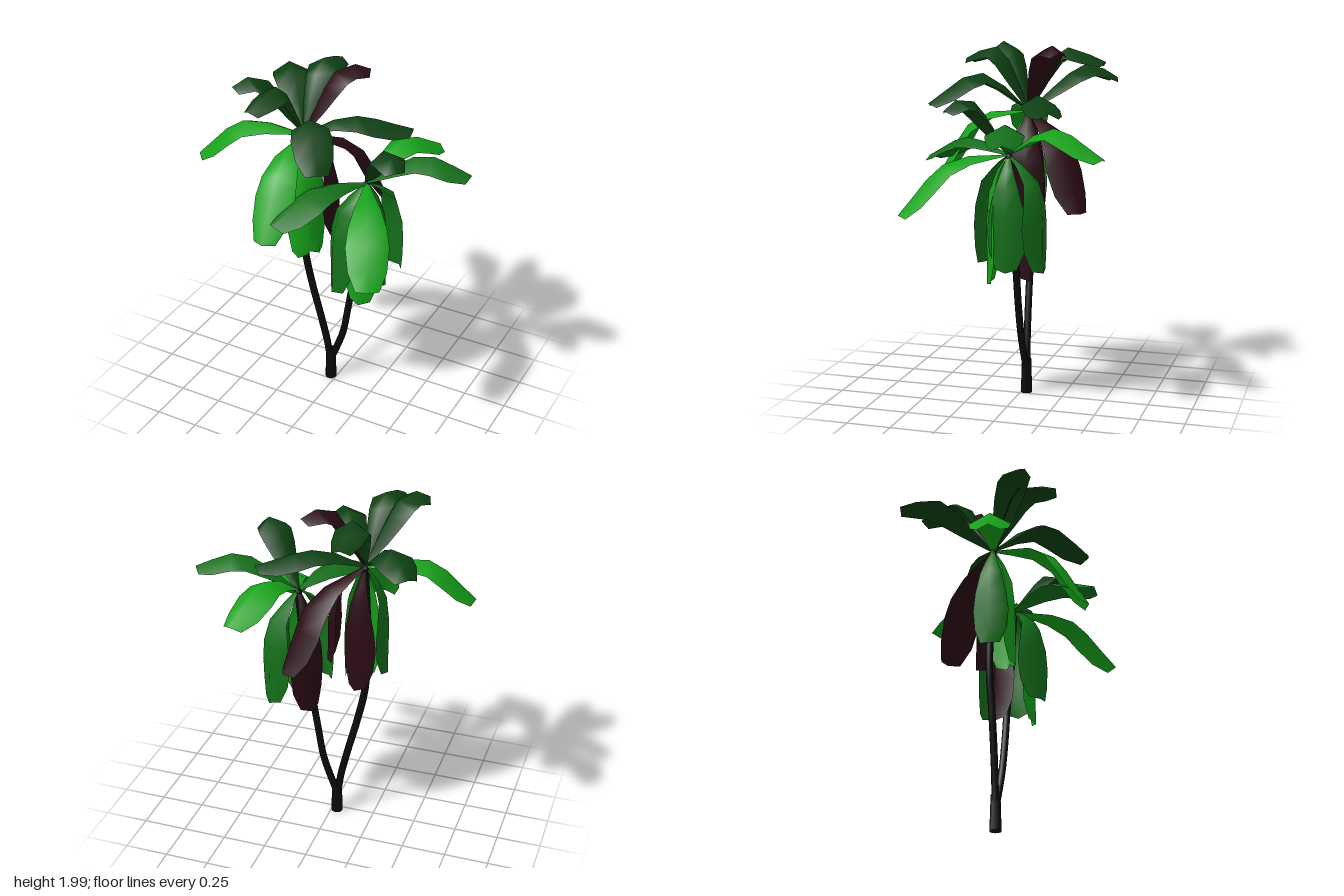
import * as THREE from 'three';

const mat = (color) => new THREE.MeshStandardMaterial({ color, side: THREE.DoubleSide });

// Width of a frond along its length: thin stalk, broad outer half, blunt end
const PROFILE = [[0, 0.02], [0.14, 0.07], [0.3, 0.135], [0.5, 0.195], [0.66, 0.22], [0.84, 0.195], [1, 0.12]];

// One frond: an arched strip, folded along its rib, from the crown through a bend to its tip
function frondGeometry(base, tip, frac, midY, scale) {
  const end = new THREE.Vector3(...tip);
  const mid = base.clone().lerp(end, frac).setY(midY);
  const curve = new THREE.CatmullRomCurve3([base, mid, end]);
  const side = new THREE.Vector3(end.z - base.z, 0, base.x - end.x).normalize();
  const pos = [], index = [];
  PROFILE.forEach(([t, w], i) => {
    const p = curve.getPointAt(t);
    const tangent = curve.getTangentAt(t);
    const up = new THREE.Vector3().crossVectors(tangent, side).normalize();
    const last = i === PROFILE.length - 1;
    for (const s of [-1, 0, 1]) {
      const v = p.clone().addScaledVector(side, s * w * scale / 2);
      v.addScaledVector(up, s === 0 ? 0.015 : 0.015 - w * 0.27);
      if (last && s !== 0) v.addScaledVector(tangent, -0.015);
      pos.push(v.x, v.y, v.z);
    }
    if (i > 0) {
      for (let k = 0; k < 2; k++) {
        const a = (i - 1) * 3 + k, b = a + 3;
        index.push(a, b, a + 1, a + 1, b, b + 1);
      }
    }
  });
  const g = new THREE.BufferGeometry();
  g.setAttribute('position', new THREE.Float32BufferAttribute(pos, 3));
  g.setIndex(index);
  g.computeVertexNormals();
  return g;
}

export function createModel() {
  const model = new THREE.Group();
  model.name = 'twinPalm';
  const bark = mat(0x0b0b0b);
  const colors = { bright: mat(0x17a31b), mid: mat(0x14701a), dark: mat(0x0d4012), red: mat(0x2a0c14) };

  const add = (parent, geo, material, name) => {
    const m = new THREE.Mesh(geo, material);
    m.name = name;
    parent.add(m);
    return m;
  };

  // Shared stump
  add(model, new THREE.CylinderGeometry(0.028, 0.034, 0.2, 10), bark, 'stump').position.set(-0.033, 0.1, -0.031);

  // Two curved trunks leaving the stump
  const trunk = (points, name) => {
    const curve = new THREE.CatmullRomCurve3(points.map((p) => new THREE.Vector3(...p)));
    add(model, new THREE.TubeGeometry(curve, 28, 0.021, 8), bark, name);
  };
  trunk([[-0.04, 0.14, -0.031], [-0.055, 0.25, -0.027], [-0.1, 0.45, -0.02], [-0.15, 0.65, -0.015],
    [-0.195, 0.88, -0.015], [-0.2, 1.2, -0.005], [-0.18, 1.6, 0]], 'tallTrunk');
  trunk([[-0.028, 0.14, -0.031], [0.012, 0.24, -0.027], [0.053, 0.36, -0.023], [0.088, 0.55, -0.017],
    [0.12, 0.74, -0.015], [0.17, 1.05, -0.005], [0.205, 1.39, 0]], 'shortTrunk');

  // Fronds: tip, position of the bend along the reach, height of the bend, colour, width
  const crown = (name, base, fronds) => {
    const group = new THREE.Group();
    group.name = name;
    model.add(group);
    const start = new THREE.Vector3(...base);
    add(group, new THREE.SphereGeometry(0.022, 8, 6), bark, 'crownHeart').position.copy(start);
    for (const [tip, frac, midY, color, width = 1] of fronds) {
      add(group, frondGeometry(start, tip, frac, midY, width), colors[color], 'frond');
    }
  };

  crown('tallCrown', [-0.18, 1.6, 0], [
    // upright fronds
    [[-0.45, 1.93, 0.27], 0.65, 1.98, 'dark', 0.85],
    [[-0.28, 1.88, 0.4], 0.5, 1.95, 'dark', 0.85],
    [[-0.18, 1.88, -0.44], 0.45, 1.95, 'dark', 0.85],
    [[0.09, 1.94, -0.25], 0.6, 1.98, 'red', 0.85],
    [[-0.53, 1.77, -0.43], 0.66, 1.85, 'dark'],
    [[0.16, 1.66, 0.47], 0.5, 1.82, 'dark'],
    // spreading fronds
    [[0.35, 1.64, -0.26], 0.42, 1.71, 'dark', 0.95],
    [[-0.75, 1.42, 0.16], 0.56, 1.645, 'bright', 1.05],
    [[0.15, 1.09, -0.38], 0.58, 1.49, 'red', 1.05],
    [[-0.14, 1.2, 0.53], 0.55, 1.56, 'bright', 1.05],
    // hanging fronds
    [[-0.16, 0.89, 0.11], 0.8, 1.42, 'bright', 0.8],
    [[-0.16, 0.89, -0.09], 0.8, 1.4, 'red', 0.9],
    [[-0.3, 0.97, 0.02], 0.8, 1.46, 'mid', 0.9],
    [[-0.08, 0.91, 0.04], 0.85, 1.42, 'bright', 0.85],
    [[0.01, 1.02, -0.03], 0.8, 1.47, 'red'],
  ]);

  crown('shortCrown', [0.205, 1.4, 0], [
    // upright and spreading fronds
    [[0.5, 1.66, 0.26], 0.68, 1.725, 'dark', 0.9],
    [[0.75, 1.52, -0.13], 0.55, 1.605, 'mid', 0.95],
    [[0.38, 1.42, -0.56], 0.48, 1.56, 'bright'],
    [[0.48, 1.09, 0.53], 0.55, 1.37, 'bright', 1.05],
    [[-0.06, 1.34, 0.55], 0.5, 1.47, 'mid'],
    // hanging fronds
    [[0.22, 0.69, 0.11], 0.8, 1.24, 'bright'],
    [[0.1, 0.78, 0.18], 0.8, 1.27, 'mid', 1.05],
    [[0.31, 0.78, -0.01], 0.8, 1.27, 'mid'],
    [[0.3, 0.79, -0.21], 0.8, 1.27, 'mid', 0.95],
    [[0.11, 0.69, -0.07], 0.85, 1.24, 'red'],
  ]);

  return model;
}
